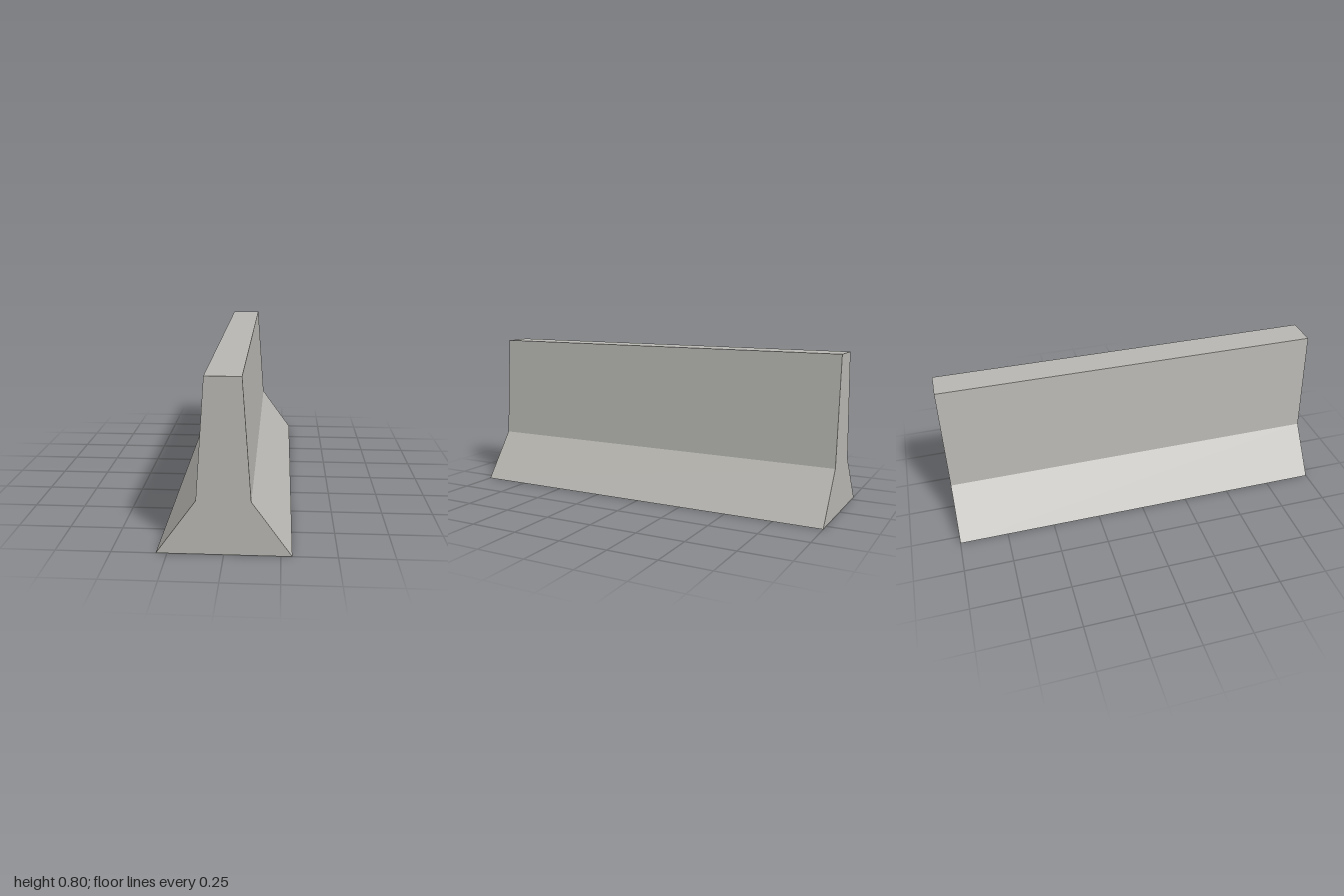
import * as THREE from 'three';

export function createModel() {
  const group = new THREE.Group();
  group.name = 'roadBarrier';

  const concrete = new THREE.MeshStandardMaterial({ color: 0xb8b7b2 });
  concrete.name = 'concrete';

  // Half profile from foot to top, mirrored across x
  const half = [[0.3, 0], [0.12, 0.25], [0.08, 0.8]];
  const profile = [...half, ...half.map(([x, y]) => [-x, y]).reverse()];
  const shape = new THREE.Shape(profile.map(([x, y]) => new THREE.Vector2(x, y)));

  // Straight extrusion along the barrier's length
  const length = 2;
  const geometry = new THREE.ExtrudeGeometry(shape, { depth: length, bevelEnabled: false });
  geometry.translate(0, 0, -length / 2);

  const body = new THREE.Mesh(geometry, concrete);
  body.name = 'barrierBody';
  group.add(body);
  return group;
}
